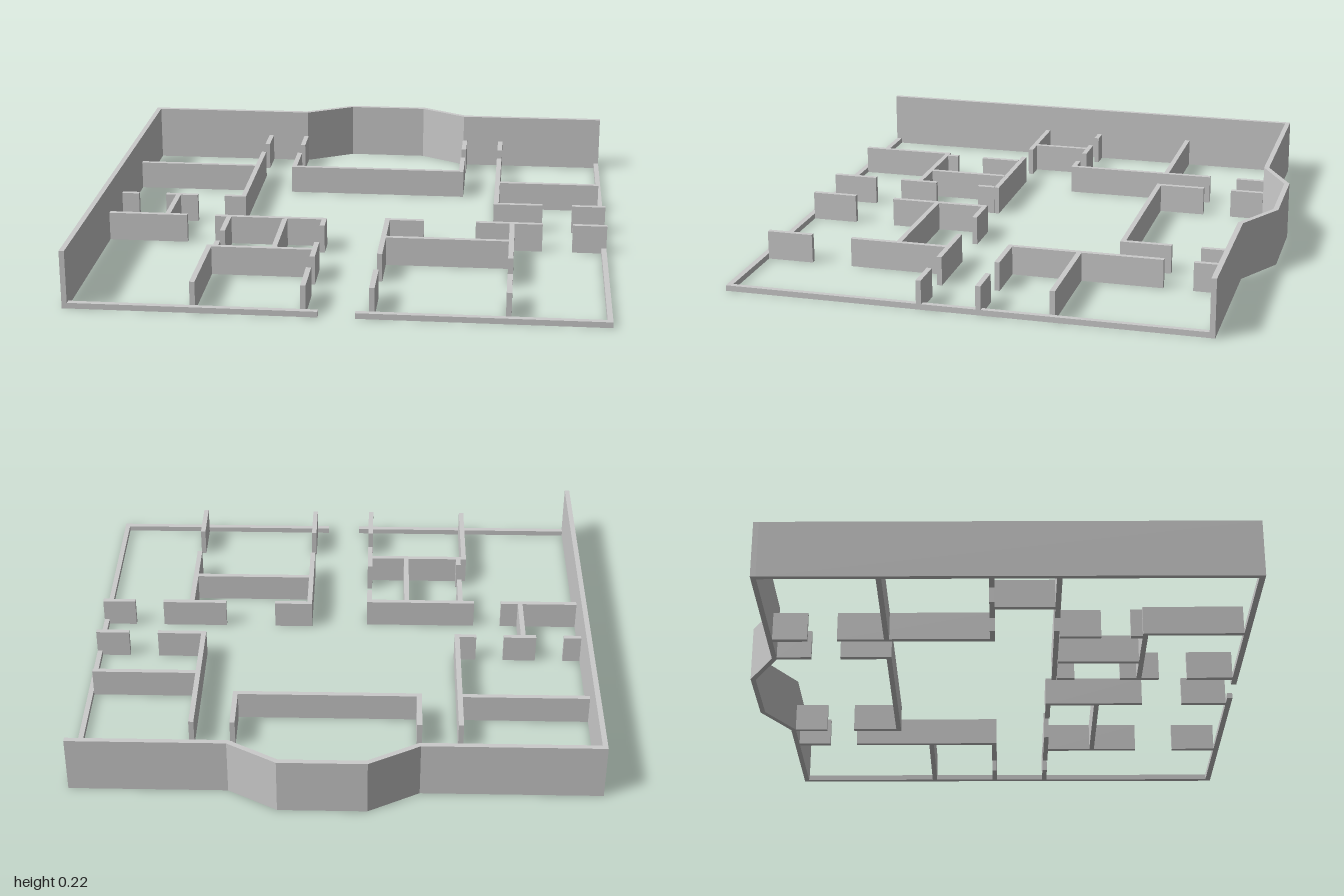
import * as THREE from 'three';

const FULL = 0.224, HALF = 0.113, LOW = 0.022, T = 0.02;
const material = new THREE.MeshStandardMaterial({ color: 0xcccccc, flatShading: true });

// Box wall standing on the ground, covering x0..x1 and z0..z1
function wall(name, x0, x1, z0, z1, h) {
  const mesh = new THREE.Mesh(new THREE.BoxGeometry(x1 - x0, h, z1 - z0), material);
  mesh.position.set((x0 + x1) / 2, h / 2, (z0 + z1) / 2);
  mesh.name = name;
  return mesh;
}

// Mitred wall of thickness T following a left-to-right centre line of [x, z] points
function pathWall(name, line, h) {
  const pts = line.map(([x, z]) => new THREE.Vector2(x, -z));
  const normal = (a, b) => new THREE.Vector2(a.y - b.y, b.x - a.x).normalize();
  const offset = (side) => pts.map((p, i) => {
    const n1 = normal(pts[Math.max(i - 1, 0)], pts[Math.max(i, 1)]);
    const n2 = i < pts.length - 1 ? normal(p, pts[i + 1]) : n1;
    const m = n1.clone().add(n2).normalize();
    return p.clone().addScaledVector(m, side * T / 2 / m.dot(n1));
  });
  const shape = new THREE.Shape([...offset(-1), ...offset(1).reverse()]);
  const geo = new THREE.ExtrudeGeometry(shape, { depth: h, bevelEnabled: false });
  geo.rotateX(-Math.PI / 2);
  const mesh = new THREE.Mesh(geo, material);
  mesh.name = name;
  return mesh;
}

export function createModel() {
  const model = new THREE.Group();
  model.name = 'floorPlan';

  // Outer walls: back and one side full height, front and other side low
  const outer = new THREE.Group();
  outer.name = 'outerWalls';
  outer.add(
    pathWall('backWallWithBay', [[-1, -0.858], [-0.312, -0.858], [-0.118, -0.966],
      [0.21, -0.966], [0.398, -0.858], [1, -0.858]], FULL),
    wall('tallSideWall', -1, -0.98, -0.848, 0.974, FULL),
    wall('lowSideWall', 0.98, 1, -0.848, 0.974, LOW),
    wall('frontWallRight', -0.98, -0.06, 0.952, 0.974, LOW),
    wall('frontWallLeft', 0.076, 0.98, 0.952, 0.974, LOW),
  );
  model.add(outer);

  const inner = new THREE.Group();
  inner.name = 'innerWalls';

  // Walls running along z: centre x, then z spans between the doorways
  const alongZ = [
    [-0.475, [-0.848, -0.714], [-0.6, 0.005]],
    [-0.316, [-0.848, -0.714], [-0.6, -0.4]],
    [0.402, [-0.848, -0.714], [-0.6, -0.4]],
    [0.56, [-0.848, -0.714], [-0.6, 0.005]],
    [-0.745, [0.005, 0.23]],
    [-0.496, [0.25, 0.41], [0.523, 0.57]],
    [-0.271, [0.25, 0.57]],
    [-0.115, [0.25, 0.32], [0.502, 0.658], [0.77, 0.952]],
    [-0.52, [0.588, 0.952]],
    [0.135, [0.23, 0.607], [0.77, 0.952]],
    [0.628, [0.23, 0.61], [0.77, 0.952]],
  ];
  for (const [x, ...spans] of alongZ)
    for (const [a, b] of spans)
      inner.add(wall('lengthwisePartition', x - T / 2, x + T / 2, a, b, HALF));

  // Walls running along x: centre z, then x spans between the doorways
  const alongX = [
    [-0.41, [-0.98, -0.485], [-0.326, 0.412]],
    [-0.276, [0.57, 0.98]],
    [-0.005, [-0.98, -0.91], [-0.797, -0.665], [-0.553, -0.465], [0.55, 0.748], [0.866, 1]],
    [0.239, [-0.98, -0.665], [-0.553, -0.105]],
    [0.578, [-0.53, -0.105]],
    [0.22, [0.125, 0.28], [0.485, 0.748], [0.866, 1]],
    [0.42, [0.145, 0.618]],
  ];
  for (const [z, ...spans] of alongX)
    for (const [a, b] of spans)
      inner.add(wall('crosswisePartition', a, b, z - T / 2, z + T / 2, HALF));

  model.add(inner);
  return model;
}
